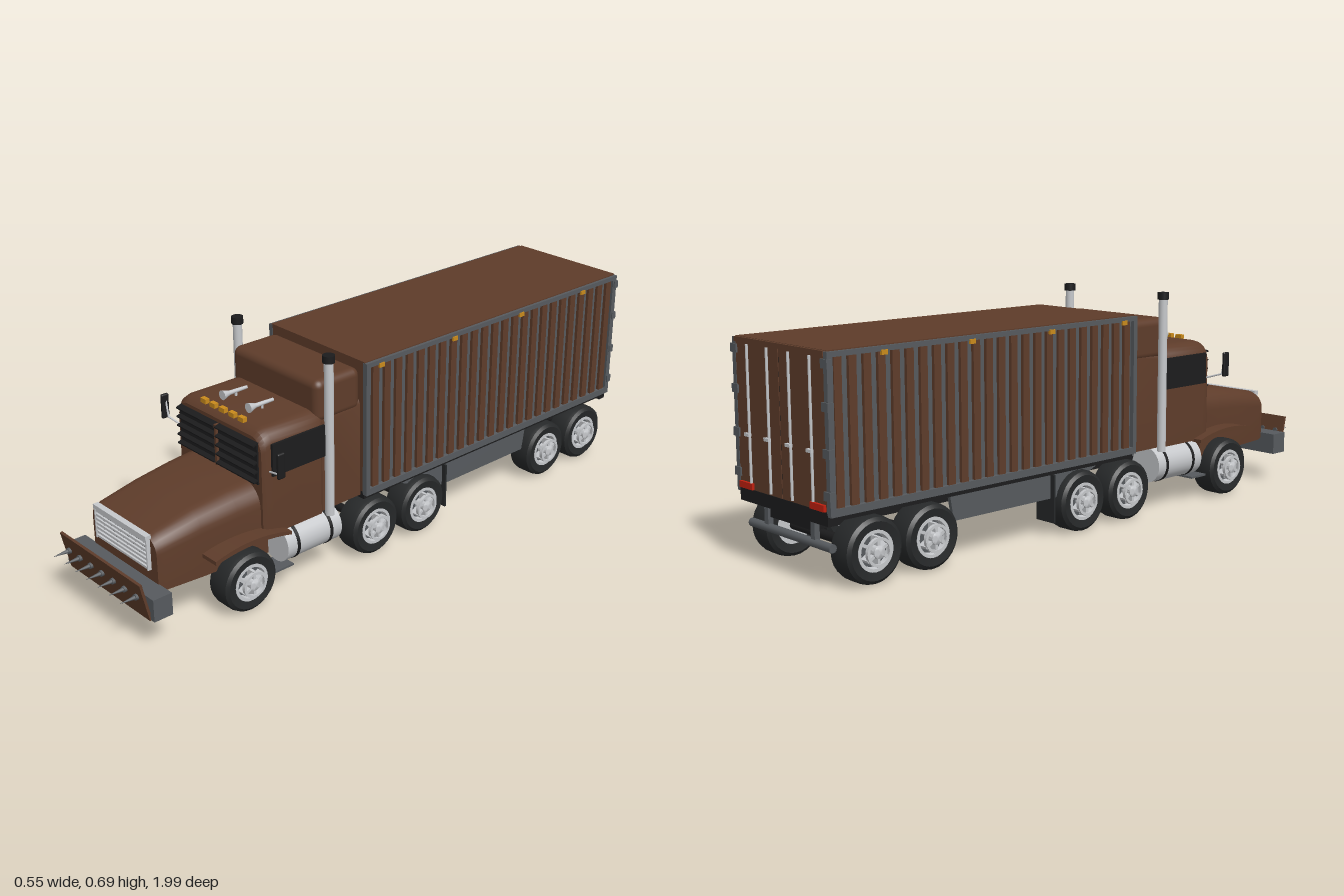
import * as THREE from 'three';
import { toCreasedNormals } from 'three/addons/utils/BufferGeometryUtils.js';
import { RoundedBoxGeometry } from 'three/addons/geometries/RoundedBoxGeometry.js';

const paint = (name, color, side = THREE.FrontSide) => {
  const m = new THREE.MeshStandardMaterial({ color, side });
  m.name = name;
  return m;
};

export function createModel() {
  const truck = new THREE.Group();
  truck.name = 'truck';
  const brown = paint('brown paint', 0x5e3c2a);
  const black = paint('black trim', 0x1c1c1d);
  const rubber = paint('tyre rubber', 0x262829);
  const grey = paint('grey steel', 0x565a5e);
  const silver = paint('silver metal', 0xc6c8cb);
  const amber = paint('amber lamp', 0xc98a1c);
  const red = paint('red lamp', 0xc0200f);

  const add = (name, geo, mat, x = 0, y = 0, z = 0, parent = truck) => {
    const m = new THREE.Mesh(geo, mat);
    m.name = name;
    m.position.set(x, y, z);
    parent.add(m);
    return m;
  };
  // Box given by its extents; pair() repeats it on both sides
  const box = (name, mat, x0, x1, y0, y1, z0, z1) =>
    add(name, new THREE.BoxGeometry(x1 - x0, y1 - y0, z1 - z0), mat, (x0 + x1) / 2, (y0 + y1) / 2, (z0 + z1) / 2);
  const pair = (name, mat, x0, x1, ...yz) => {
    box(name, mat, x0, x1, ...yz);
    box(name, mat, -x1, -x0, ...yz);
  };
  const rod = (name, mat, a, b, r, r2 = r, sides = 12) => {
    const p = new THREE.Vector3(...a), q = new THREE.Vector3(...b), d = q.clone().sub(p);
    const m = add(name, new THREE.CylinderGeometry(r2, r, d.length(), sides), mat);
    m.position.copy(p).add(q).multiplyScalar(0.5);
    m.quaternion.setFromUnitVectors(new THREE.Vector3(0, 1, 0), d.normalize());
    return m;
  };

  // Cross-section with rounded shoulders: [z, half width, bottom, top, shoulder radius]
  const section = ([z, w, y0, y1, r]) => {
    const pts = [[-w, y0, z], [w, y0, z]];
    for (const [cx, start] of [[w - r, 0], [r - w, Math.PI / 2]])
      for (let i = 0; i <= 6; i++) {
        const t = start + (i / 6) * Math.PI / 2;
        pts.push([cx + r * Math.cos(t), y1 - r + r * Math.sin(t), z]);
      }
    return pts;
  };
  const loft = (stations) => {
    const s = stations.map(section), n = s[0].length, pos = [];
    for (let i = 0; i < s.length - 1; i++)
      for (let j = 0; j < n; j++) {
        const k = (j + 1) % n, a = s[i][j], b = s[i][k], c = s[i + 1][k], d = s[i + 1][j];
        pos.push(...a, ...b, ...c, ...a, ...c, ...d);
      }
    const back = s[0], front = s[s.length - 1];
    for (let j = 1; j < n - 1; j++)
      pos.push(...front[0], ...front[j], ...front[j + 1], ...back[0], ...back[j + 1], ...back[j]);
    const g = new THREE.BufferGeometry();
    g.setAttribute('position', new THREE.Float32BufferAttribute(pos, 3));
    return toCreasedNormals(g, 0.6);
  };

  // Hood, cab and sleeper
  add('hood', loft([[0.5, 0.182, 0.135, 0.356, 0.07], [0.6, 0.177, 0.14, 0.348, 0.066],
    [0.72, 0.169, 0.14, 0.333, 0.06], [0.84, 0.161, 0.143, 0.308, 0.05], [0.86, 0.155, 0.147, 0.298, 0.045]]), brown);
  add('cab', loft([[0.15, 0.19, 0.2, 0.52, 0.03], [0.3, 0.19, 0.2, 0.52, 0.04], [0.312, 0.2, 0.2, 0.52, 0.05],
    [0.49, 0.2, 0.2, 0.52, 0.05], [0.51, 0.198, 0.2, 0.514, 0.05], [0.522, 0.19, 0.21, 0.5, 0.045]]), brown);
  add('sleeper', new RoundedBoxGeometry(0.385, 0.13, 0.17, 4, 0.024), brown, 0, 0.547, 0.235);
  pair('sideWindow', black, 0.199, 0.207, 0.385, 0.483, 0.302, 0.495);

  // Louvred windshield
  for (const s of [-1, 1]) {
    box('windshield', black, s * 0.091 - 0.087, s * 0.091 + 0.087, 0.36, 0.487, 0.519, 0.527);
    for (let i = 0; i < 5; i++) {
      const m = add('louvre', new THREE.BoxGeometry(0.174, 0.005, 0.022), black, s * 0.091, 0.372 + i * 0.028, 0.53);
      m.rotation.x = 0.3;
    }
  }
  box('windshieldPost', brown, -0.004, 0.004, 0.36, 0.487, 0.52, 0.536);

  // Grille
  box('grilleBacking', black, -0.125, 0.125, 0.2, 0.3, 0.858, 0.864);
  box('grilleTop', silver, -0.127, 0.127, 0.294, 0.306, 0.856, 0.874);
  pair('grilleSide', silver, 0.122, 0.127, 0.2, 0.3, 0.858, 0.872);
  for (let i = 0; i < 7; i++) box('grilleBar', silver, -0.124, 0.124, 0.202 + i * 0.0135, 0.209 + i * 0.0135, 0.862, 0.87);

  // Bumper with slanted ram plate and spikes
  box('bumper', grey, -0.212, 0.212, 0.097, 0.165, 0.857, 0.918);
  const ram = add('ramPlate', new THREE.BoxGeometry(0.39, 0.122, 0.008), brown, 0, 0.155, 0.93);
  ram.rotation.x = 0.22;
  for (let i = -3; i <= 3; i++) {
    rod('spikeBase', grey, [i * 0.055, 0.165, 0.925], [i * 0.055, 0.165, 0.945], 0.009);
    rod('spike', grey, [i * 0.055, 0.165, 0.945], [i * 0.055, 0.165, 0.99], 0.006, 0.0005);
  }

  // Arched front fenders
  const arch = new THREE.Shape();
  arch.moveTo(0.45, 0.196);
  arch.quadraticCurveTo(0.59, 0.232, 0.72, 0.2);
  arch.lineTo(0.72, 0.212);
  arch.quadraticCurveTo(0.59, 0.25, 0.45, 0.206);
  const fenderGeo = new THREE.ExtrudeGeometry(arch, { depth: 0.08, bevelEnabled: false, curveSegments: 10 });
  fenderGeo.rotateY(-Math.PI / 2);
  add('fender', fenderGeo, brown, 0.23, 0, 0);
  add('fender', fenderGeo, brown, -0.15, 0, 0);

  for (const s of [-1, 1]) {
    // Exhaust stacks
    rod('exhaustStack', silver, [s * 0.205, 0.19, 0.285], [s * 0.205, 0.675, 0.285], 0.014, 0.014, 20);
    rod('exhaustCap', black, [s * 0.205, 0.67, 0.285], [s * 0.205, 0.692, 0.285], 0.018, 0.018, 20);
    // Mirrors
    rod('mirrorArm', silver, [s * 0.198, 0.4, 0.5], [s * 0.256, 0.418, 0.515], 0.003);
    rod('mirrorArm', silver, [s * 0.256, 0.418, 0.515], [s * 0.268, 0.475, 0.515], 0.003);
    add('mirror', new RoundedBoxGeometry(0.011, 0.078, 0.026, 2, 0.005), black, s * 0.269, 0.45, 0.517);
    // Fuel tanks with straps and step
    rod('fuelTank', silver, [s * 0.167, 0.145, 0.255], [s * 0.167, 0.145, 0.46], 0.057, 0.057, 28);
    for (const z of [0.295, 0.42]) rod('tankStrap', black, [s * 0.167, 0.145, z - 0.005], [s * 0.167, 0.145, z + 0.005], 0.059, 0.059, 28);
    // Air horns
    rod('horn', silver, [s * 0.06, 0.535, 0.37], [s * 0.06, 0.535, 0.44], 0.005, 0.007);
    rod('hornBell', silver, [s * 0.06, 0.535, 0.435], [s * 0.06, 0.535, 0.46], 0.007, 0.015, 16);
    rod('hornFoot', silver, [s * 0.06, 0.515, 0.41], [s * 0.06, 0.535, 0.41], 0.004);
  }
  pair('step', grey, 0.14, 0.21, 0.078, 0.084, 0.43, 0.5);
  for (const x of [-0.086, -0.044, 0, 0.044, 0.086]) box('roofLamp', amber, x - 0.012, x + 0.012, 0.517, 0.531, 0.495, 0.51);

  // Chassis
  box('chassis', black, -0.1, 0.1, 0.145, 0.205, -0.96, 0.52);
  pair('chassisRail', grey, 0.1, 0.112, 0.165, 0.205, -0.96, 0.5);
  box('trailerFloor', black, -0.205, 0.205, 0.19, 0.213, -0.975, 0.15);

  // Trailer shell
  box('trailerWalls', grey, -0.205, 0.205, 0.21, 0.625, -0.975, 0.145);
  box('trailerRoof', brown, -0.209, 0.209, 0.62, 0.633, -0.98, 0.152);
  box('trailerFront', brown, -0.205, 0.205, 0.215, 0.63, 0.145, 0.152);
  pair('topRail', grey, 0.203, 0.219, 0.616, 0.63, -0.985, 0.152);
  pair('bottomRail', grey, 0.203, 0.219, 0.205, 0.226, -0.985, 0.152);
  pair('cornerPost', grey, 0.203, 0.219, 0.21, 0.63, 0.138, 0.153);
  pair('cornerPost', grey, 0.203, 0.219, 0.21, 0.63, -0.986, -0.968);
  for (let i = 0; i < 24; i++) {
    const z = 0.112 - i * 0.0462;
    pair('wallRib', brown, 0.204, 0.215, 0.224, 0.618, z - 0.012, z + 0.012);
  }
  for (const z of [0.095, -0.208, -0.508, -0.808]) pair('sideLamp', amber, 0.216, 0.223, 0.607, 0.62, z - 0.01, z + 0.01);

  // Rear doors, lock rods, hinges and lamps
  pair('rearDoor', brown, 0.002, 0.203, 0.215, 0.625, -0.985, -0.975);
  box('rearHeader', brown, -0.205, 0.205, 0.618, 0.632, -0.989, -0.975);
  box('doorGap', black, -0.002, 0.002, 0.215, 0.62, -0.983, -0.975);
  box('rearSill', black, -0.205, 0.205, 0.18, 0.217, -0.986, -0.96);
  for (const x of [-0.145, -0.05, 0.05, 0.145]) {
    rod('lockRod', silver, [x, 0.222, -0.988], [x, 0.615, -0.988], 0.004, 0.004, 8);
    box('lockHandle', silver, x - 0.006, x + 0.016, 0.365, 0.374, -0.996, -0.986);
  }
  for (const y of [0.26, 0.37, 0.49, 0.6]) pair('hinge', grey, 0.195, 0.223, y - 0.012, y + 0.012, -0.99, -0.972);
  pair('tailLamp', red, 0.135, 0.198, 0.218, 0.236, -0.993, -0.984);

  // Underrun bar, side skirts and mud flaps
  pair('underrunPost', grey, 0.1, 0.118, 0.11, 0.19, -0.968, -0.952);
  rod('underrunBar', grey, [-0.19, 0.115, -0.962], [0.19, 0.115, -0.962], 0.012);
  const skirt = new THREE.Shape([[-0.58, 0.205], [-0.565, 0.118], [-0.175, 0.118], [0.0, 0.19], [0.0, 0.205]].map(p => new THREE.Vector2(...p)));
  const skirtGeo = new THREE.ExtrudeGeometry(skirt, { depth: 0.012, bevelEnabled: false });
  skirtGeo.rotateY(-Math.PI / 2);
  add('sideSkirt', skirtGeo, grey, 0.2, 0, 0);
  add('sideSkirt', skirtGeo, grey, -0.188, 0, 0);
  pair('mudFlap', rubber, 0.14, 0.215, 0.045, 0.19, -0.195, -0.189);

  // Wheels on five axles
  const lathe = (pts, n = 28) => {
    const g = new THREE.LatheGeometry(pts.map(p => new THREE.Vector2(...p)), n);
    g.rotateZ(-Math.PI / 2);
    return toCreasedNormals(g, 0.6);
  };
  const tyreGeo = lathe([[0.056, 0.004], [0.08, 0], [0.09, 0.008], [0.093, 0.02], [0.093, 0.066], [0.09, 0.078], [0.08, 0.086], [0.056, 0.082], [0.056, 0.004]]);
  const rimGeo = lathe([[0, 0.008], [0.057, 0.008], [0.057, 0.084], [0.048, 0.084], [0.045, 0.066], [0, 0.066]]);
  const hubGeo = lathe([[0, 0.06], [0.02, 0.06], [0.018, 0.1], [0.012, 0.104], [0, 0.104]], 16);
  const ringGeo = lathe([[0.032, 0.091], [0.04, 0.091], [0.04, 0.101], [0.032, 0.101], [0.032, 0.091]], 24);
  const dishGeo = lathe([[0.046, 0.067], [0, 0.067]].reverse().map(([r, y]) => [0.046 - r, y]), 24);
  for (const z of [0.597, 0.118, -0.082, -0.66, -0.853]) {
    rod('axle', black, [-0.16, 0.095, z], [0.16, 0.095, z], 0.014);
    for (const s of [-1, 1]) {
      const wheel = new THREE.Group();
      wheel.name = 'wheel';
      wheel.position.set(s * 0.143, 0.095, z);
      if (s < 0) wheel.rotation.y = Math.PI;
      truck.add(wheel);
      add('tyre', tyreGeo, rubber, 0, 0, 0, wheel);
      add('rim', rimGeo, silver, 0, 0, 0, wheel);
      add('rimDish', dishGeo, grey, 0, 0, 0, wheel);
      add('hub', hubGeo, silver, 0, 0, 0, wheel);
      add('hubRing', ringGeo, silver, 0, 0, 0, wheel);
      for (let i = 0; i < 6; i++) {
        const t = i * Math.PI / 3;
        const spoke = add('spoke', new THREE.BoxGeometry(0.03, 0.036, 0.009), silver, 0.082, 0.024 * Math.cos(t), 0.024 * Math.sin(t), wheel);
        spoke.rotation.x = t;
      }
    }
  }
  return truck;
}
